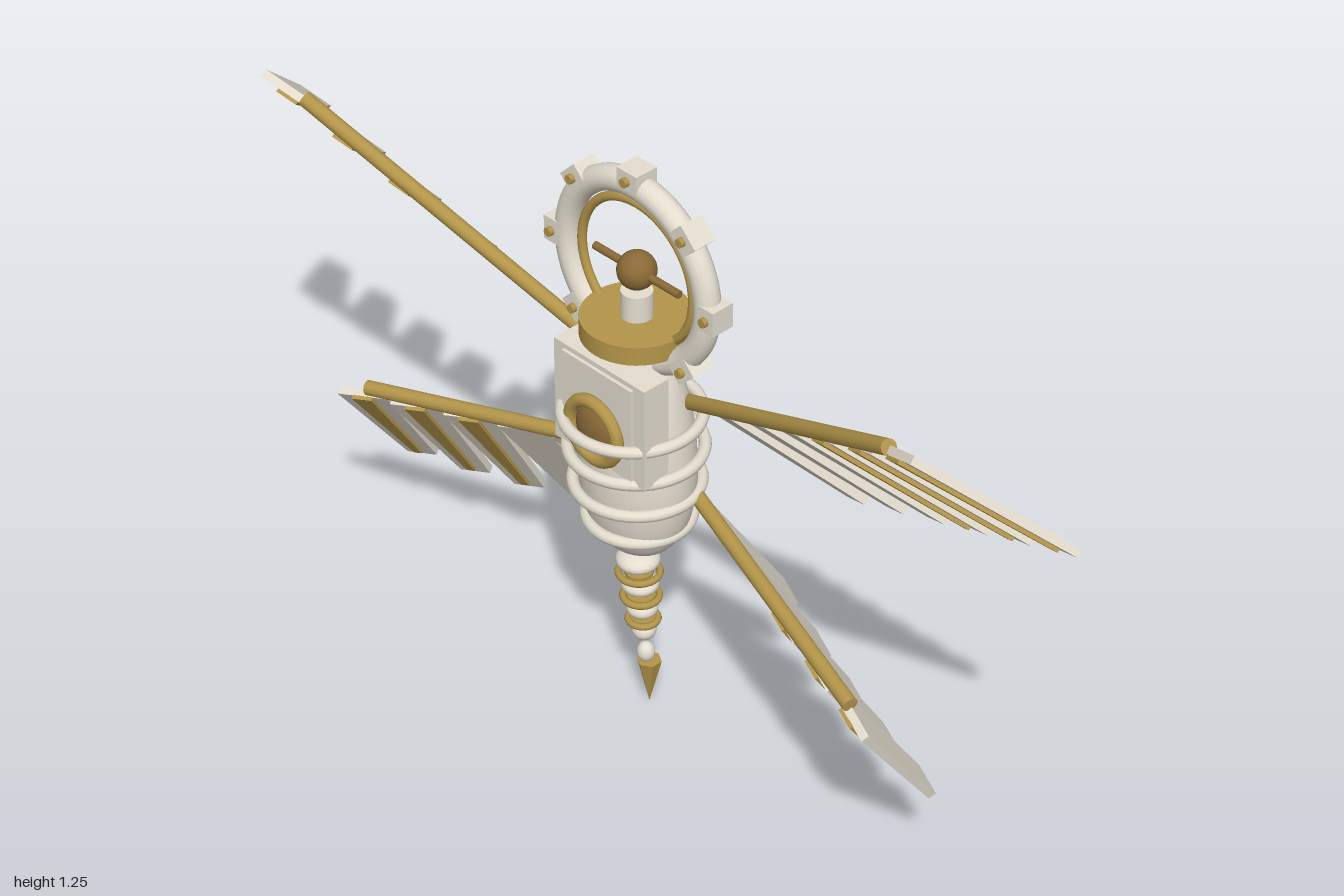
import * as THREE from 'three';

const V = (x, y, z) => new THREE.Vector3(x, y, z);
const mat = (color) => new THREE.MeshStandardMaterial({ color });
const ivory = mat(0xe4ddcf), gold = mat(0xb3954a), bronze = mat(0x8a6a38);
const Z = 0.023; // depth of the body axis

function add(parent, name, geometry, material, x = 0, y = 0, z = 0) {
  const mesh = new THREE.Mesh(geometry, material);
  mesh.name = name;
  mesh.position.set(x, y, z);
  parent.add(mesh);
  return mesh;
}

// Cylinder between two points
function rod(parent, name, a, b, radius, material) {
  const mesh = add(parent, name, new THREE.CylinderGeometry(radius, radius, a.distanceTo(b), 12), material);
  mesh.position.copy(a).lerp(b, 0.5);
  mesh.quaternion.setFromUnitVectors(V(0, 1, 0), b.clone().sub(a).normalize());
}

// Flat board running up from its root, narrowing to its tip
function taperedBoard(rootWidth, tipWidth, length, thickness) {
  const g = new THREE.BoxGeometry(1, length, thickness);
  g.translate(0, length / 2, 0);
  const p = g.attributes.position;
  for (let i = 0; i < p.count; i++) p.setX(i, p.getX(i) * (p.getY(i) > length / 2 ? tipWidth : rootWidth));
  g.computeVertexNormals();
  return g;
}

// A spar with a row of slightly louvred feathers
function makeWing(name, w) {
  const wing = new THREE.Group();
  wing.name = name;
  rod(wing, 'wingSpar', w.spar[0], w.spar[1], 0.015, gold);
  const along = w.spar[1].clone().sub(w.spar[0]).normalize();
  for (let i = 0; i < w.count; i++) {
    const t = i / (w.count - 1);
    const root = w.roots[0].clone().lerp(w.roots[1], t);
    const tip = w.tips[0].clone().lerp(w.tips[1], t);
    tip.y -= w.sag * Math.sin(Math.PI * t);
    const dir = tip.clone().sub(root);
    const length = dir.length();
    dir.normalize();
    const back = along.clone().cross(dir).normalize();
    const side = along.clone().addScaledVector(back, -0.09);
    side.addScaledVector(dir, -side.dot(dir)).normalize();
    const normal = side.clone().cross(dir);
    const feather = new THREE.Group();
    feather.name = 'feather' + (i + 1);
    feather.quaternion.setFromRotationMatrix(new THREE.Matrix4().makeBasis(side, dir, normal));
    feather.position.copy(root);
    // Shear so that root and tip edges stay parallel to the spar
    const k = along.dot(dir);
    const shear = (g) => g.applyMatrix4(new THREE.Matrix4().set(1, 0, 0, 0, k, 1, 0, 0, 0, 0, 1, 0, 0, 0, 0, 1));
    add(feather, 'featherBlade', shear(taperedBoard(w.width[0], w.width[1], length, 0.016)), ivory);
    // Gilded quill on the underside of the outer feathers
    if (i >= w.count - 3) add(feather, 'featherQuill', shear(taperedBoard(0.045, 0.018, length * 0.94, 0.008)), gold, 0, 0, -0.011);
    wing.add(feather);
  }
  return wing;
}

export function createModel() {
  const model = new THREE.Group();
  model.name = 'wingedAutomaton';

  // Egg-shaped body, flattened front to back
  const profile = [[0, 0.41], [0.04, 0.418], [0.075, 0.44], [0.105, 0.49], [0.12, 0.56], [0.122, 0.63],
    [0.114, 0.72], [0.094, 0.81], [0.07, 0.87], [0.055, 0.9], [0, 0.905]].map(([r, y]) => new THREE.Vector2(r, y));
  add(model, 'body', new THREE.LatheGeometry(new THREE.SplineCurve(profile).getPoints(40)
    .map((p) => p.setX(Math.max(0, p.x))), 40), ivory, 0, 0, Z).scale.z = 0.82;

  // Hoops around the body
  for (const [y, r, z] of [[0.732, 0.13, 0.035], [0.652, 0.127, 0.026], [0.572, 0.12, 0.023], [0.49, 0.1, 0.018]])
    add(model, 'bodyHoop', new THREE.TorusGeometry(r, 0.012, 10, 48), ivory, 0, y, z).rotation.x = Math.PI / 2;

  // Chest plate and round emblem
  add(model, 'chestPlate', new THREE.BoxGeometry(0.235, 0.22, 0.06), ivory, 0, 0.765, 0.088);
  add(model, 'chestInset', new THREE.BoxGeometry(0.18, 0.2, 0.012), ivory, 0, 0.765, 0.119);
  add(model, 'emblemRing', new THREE.TorusGeometry(0.062, 0.013, 10, 36), gold, 0, 0.735, 0.132);
  const boss = add(model, 'emblemBoss', new THREE.SphereGeometry(0.05, 24, 12), bronze, 0, 0.735, 0.125);
  boss.scale.z = 0.4;

  // Collar, neck and head
  add(model, 'collar', new THREE.CylinderGeometry(0.105, 0.105, 0.038, 40), gold, 0, 0.92, Z);
  add(model, 'neck', new THREE.CylinderGeometry(0.03, 0.03, 0.055, 20), ivory, 0, 0.965, Z);
  add(model, 'headBall', new THREE.SphereGeometry(0.037, 24, 16), bronze, 0, 1.035, Z);
  rod(model, 'headAxle', V(-0.108, 1.035, Z), V(0.108, 1.035, Z), 0.008, bronze);

  // Halo with eight studs
  add(model, 'halo', new THREE.TorusGeometry(0.178, 0.025, 14, 64), ivory, 0, 1.035, Z);
  add(model, 'haloLining', new THREE.TorusGeometry(0.142, 0.009, 10, 64), gold, 0, 1.035, Z);
  for (let i = 0; i < 8; i++) {
    const stud = new THREE.Group();
    stud.name = 'haloStud';
    stud.position.set(0, 1.035, Z);
    stud.rotation.z = (i * Math.PI) / 4;
    add(stud, 'studBlock', new THREE.BoxGeometry(0.05, 0.038, 0.05), ivory, 0, 0.197, 0);
    add(stud, 'studBolt', new THREE.CylinderGeometry(0.009, 0.009, 0.012, 10), gold, 0, 0.197, 0.029).rotation.x = Math.PI / 2;
    model.add(stud);
  }

  // Tail of beads and rings, drifting back towards the tip
  const tailZ = (y) => 0.022 - 0.085 * Math.max(0, 0.38 - y);
  for (const [y, r, h] of [[0.377, 0.043, 0.022], [0.315, 0.037, 0.02], [0.253, 0.031, 0.02], [0.195, 0.024, 0.021], [0.136, 0.018, 0.022]])
    add(model, 'tailBead', new THREE.SphereGeometry(1, 20, 12), ivory, 0, y, tailZ(y)).scale.set(r, h, r);
  for (const [y, r] of [[0.345, 0.04], [0.284, 0.035], [0.225, 0.029]])
    add(model, 'tailRing', new THREE.TorusGeometry(r, 0.007, 8, 28), gold, 0, y, tailZ(y)).rotation.x = Math.PI / 2;
  for (const y of [0.345, 0.284, 0.225])
    add(model, 'tailDisc', new THREE.CylinderGeometry(0.028, 0.028, 0.008, 20), gold, 0, y, tailZ(y));
  const spike = new THREE.ConeGeometry(0.025, 0.105, 6).toNonIndexed();
  spike.computeVertexNormals();
  add(model, 'tailSpike', spike, gold, 0, 0.0575, -0.008).rotation.x = Math.PI;

  // Wings, built on the left and mirrored to the right
  const upper = {
    count: 6, width: [0.122, 0.072], sag: 0,
    spar: [V(0.09, 0.77, -0.02), V(0.74, 1.122, 0.167)],
    roots: [V(0.195, 0.82, 0.005), V(0.765, 1.13, 0.178)],
    tips: [V(0.355, 0.605, -0.195), V(0.97, 0.932, -0.033)],
  };
  const lower = {
    count: 5, width: [0.115, 0.068], sag: 0.022,
    spar: [V(0.09, 0.569, -0.028), V(0.648, 0.487, 0.13)],
    roots: [V(0.185, 0.548, -0.005), V(0.655, 0.473, 0.135)],
    tips: [V(0.2, 0.298, -0.178), V(0.687, 0.227, -0.035)],
  };
  for (const s of [1, -1]) {
    const pair = new THREE.Group();
    pair.name = s > 0 ? 'leftWings' : 'rightWings';
    pair.add(makeWing('upperWing', upper), makeWing('lowerWing', lower));
    pair.scale.x = s;
    model.add(pair);
  }
  return model;
}
